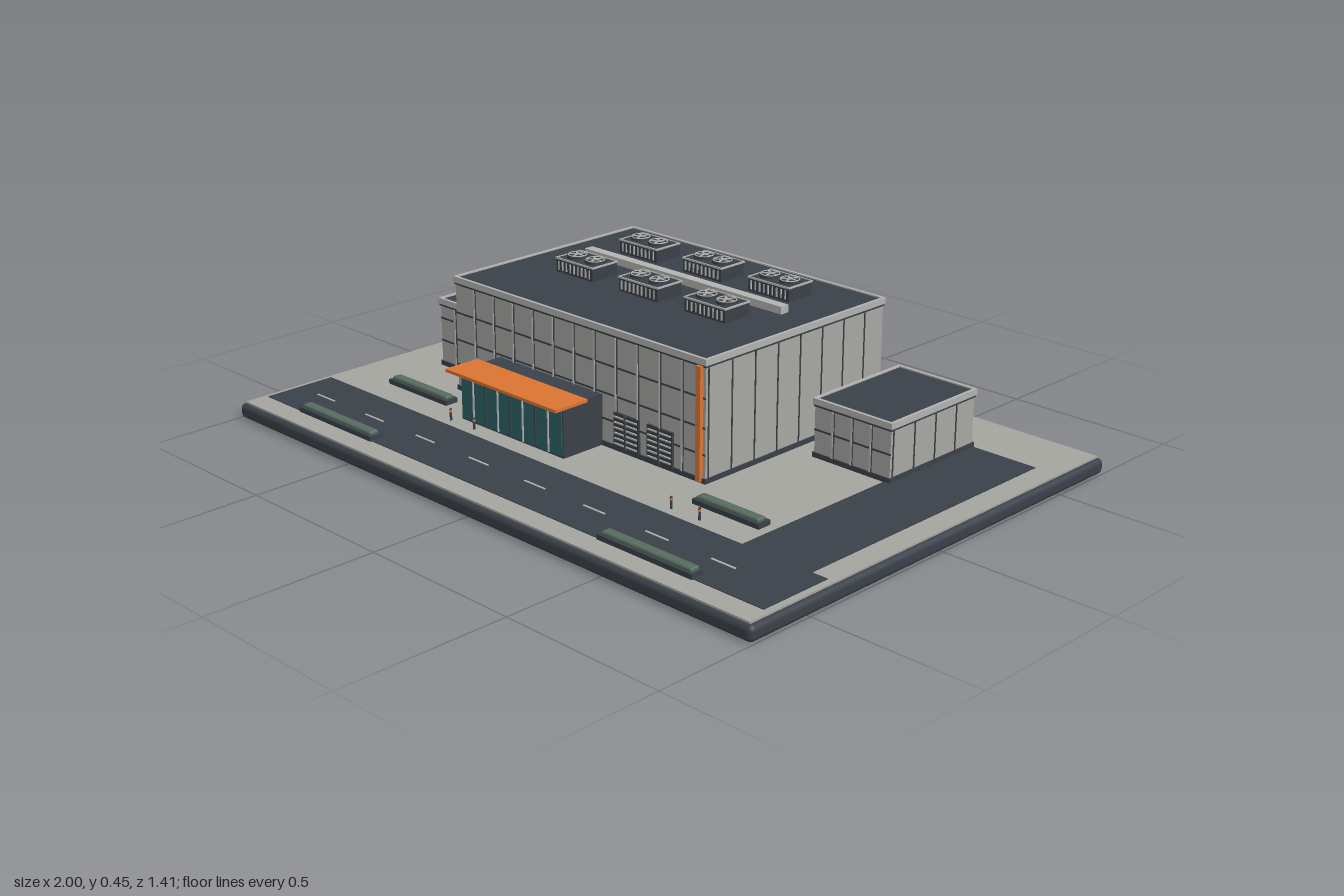
import * as THREE from 'three';
import { RoundedBoxGeometry } from 'three/addons/geometries/RoundedBoxGeometry.js';

const paint = (name, color) => {
  const m = new THREE.MeshStandardMaterial({ color });
  m.name = name;
  return m;
};

export function createModel() {
  const dark = paint('charcoal', 0x3a4049);
  const paving = paint('paving grey', 0xa4a49f);
  const wall = paint('wall grey', 0xa6a6a3);
  const trim = paint('light trim', 0xb2b3b0);
  const orange = paint('orange', 0xdb7433);
  const glass = paint('teal glass', 0x2c6267);
  const hedge = paint('hedge green', 0x566b5e);

  const root = new THREE.Group();
  root.name = 'site';
  const group = (name, parent = root) => {
    const g = new THREE.Group();
    g.name = name;
    parent.add(g);
    return g;
  };
  // Box given by its extents on each axis
  const box = (parent, name, mat, x0, x1, y0, y1, z0, z1) => {
    const m = new THREE.Mesh(new THREE.BoxGeometry(x1 - x0, y1 - y0, z1 - z0), mat);
    m.position.set((x0 + x1) / 2, (y0 + y1) / 2, (z0 + z1) / 2);
    m.name = name;
    parent.add(m);
    return m;
  };
  const G = 0.05; // ground level

  // Base slab, paving and roads
  const base = new THREE.Mesh(new RoundedBoxGeometry(2, 0.045, 1.41, 3, 0.016), dark);
  base.position.y = 0.0225;
  base.name = 'baseSlab';
  root.add(base);
  box(root, 'paving', paving, -0.985, 0.985, 0.04, G, -0.692, 0.692);
  box(root, 'frontRoad', dark, -0.97, 0.965, G - 0.004, G + 0.002, 0.4, 0.625);
  box(root, 'sideDrive', dark, 0.69, 0.915, G - 0.004, G + 0.002, -0.505, 0.4);
  for (let i = 0; i < 8; i++) {
    const x = -0.84 + i * 0.225;
    box(root, 'roadDash', trim, x - 0.04, x + 0.04, G, G + 0.004, 0.512, 0.518);
  }

  // Flat-roofed block: body, plinth, parapet, and panel joints on the front and +x sides
  const block = (name, x0, x1, z0, z1, top, rows, bays, sideBays) => {
    const g = group(name);
    const o = 0.005, roof = top - 0.004, cap = top - 0.018;
    box(g, 'walls', wall, x0, x1, G, cap, z0, z1);
    box(g, 'plinth', dark, x0 - 0.004, x1 + 0.004, G, G + 0.014, z0 - 0.004, z1 + 0.004);
    box(g, 'roof', dark, x0 + 0.003, x1 - 0.003, cap - 0.002, roof, z0 + 0.003, z1 - 0.003);
    box(g, 'capShadowLine', dark, x0 - 0.003, x1 + 0.003, cap - 0.006, cap, z0 - 0.003, z1 + 0.003);
    for (const [a, b] of [[x0 - o, x0 + 0.004], [x1 - 0.004, x1 + o]])
      box(g, 'parapetSide', trim, a, b, cap, top, z0 - o, z1 + o);
    for (const [a, b] of [[z0 - o, z0 + 0.004], [z1 - 0.004, z1 + o]])
      box(g, 'parapetEnd', trim, x0 + 0.004, x1 - 0.004, cap, top, a, b);
    for (const y of rows)
      box(g, 'frontJoint', dark, x0, x1, y - 0.0025, y + 0.0025, z1 - 0.002, z1 + 0.002);
    for (let i = 1; i < bays; i++) {
      const x = x0 + ((x1 - x0) * i) / bays;
      box(g, 'frontRib', trim, x - 0.003, x + 0.003, G + 0.014, cap - 0.006, z1 - 0.002, z1 + 0.006);
      box(g, 'frontRibShadow', dark, x + 0.003, x + 0.0045, G + 0.014, cap - 0.006, z1 - 0.002, z1 + 0.004);
    }
    for (let i = 0; i < sideBays; i++) {
      const z = z1 - 0.01 - ((z1 - z0) * i) / sideBays;
      box(g, 'sideJoint', dark, x1 - 0.002, x1 + 0.002, G + 0.014, cap - 0.006, z - 0.002, z + 0.002);
    }
    return g;
  };
  block('sideWing', -0.825, -0.625, -0.487, 0.09, 0.262, [0.13, 0.2], 3, 0);
  block('annex', 0.445, 0.705, -0.505, -0.15, 0.22, [0.13], 4, 4);
  const hall = block('mainHall', -0.627, 0.367, -0.52, 0.193, 0.397, [0.13, 0.205, 0.288], 12, 8);
  box(hall, 'accentStrip', orange, 0.341, 0.358, G + 0.004, 0.376, 0.19, 0.205);

  // Louvred vents on the front wall
  for (const x of [0.03, 0.157]) {
    const v = group('louvreVent', hall);
    box(v, 'ventPanel', dark, x, x + 0.096, 0.06, 0.162, 0.19, 0.2);
    for (let i = 0; i < 6; i++) {
      const y = 0.073 + i * 0.0155;
      box(v, 'ventSlat', trim, x + 0.005, x + 0.091, y - 0.002, y + 0.002, 0.199, 0.204);
    }
    box(v, 'ventPost', dark, x + 0.046, x + 0.05, 0.06, 0.162, 0.199, 0.206);
  }

  // Glazed entrance with canopy
  const entry = group('entrance');
  box(entry, 'lobby', dark, -0.44, -0.02, G, 0.198, 0.19, 0.338);
  box(entry, 'glazing', glass, -0.436, -0.024, 0.056, 0.193, 0.337, 0.341);
  for (let i = 1; i < 8; i++) {
    const x = -0.436 + (0.412 * i) / 8;
    box(entry, 'mullion', i % 2 ? trim : dark, x - 0.002, x + 0.002, 0.056, 0.193, 0.34, 0.345);
  }
  box(entry, 'canopy', orange, -0.455, -0.002, 0.198, 0.207, 0.265, 0.382);

  // Rooftop duct and cooling units
  const plant = group('roofPlant');
  box(plant, 'duct', trim, -0.52, 0.258, 0.39, 0.415, -0.246, -0.216);
  const ringGeo = new THREE.TorusGeometry(0.027, 0.002, 6, 24).rotateX(Math.PI / 2);
  const hubGeo = new THREE.CylinderGeometry(0.006, 0.006, 0.005, 12);
  const drumGeo = new THREE.CylinderGeometry(0.03, 0.031, 0.008, 24);
  const bladeGeo = new THREE.BoxGeometry(0.021, 0.002, 0.005).translate(0.0145, 0, 0);
  const put = (g, name, geo, mat, x, y, z, turn = 0) => {
    const m = new THREE.Mesh(geo, mat);
    m.position.set(x, y, z);
    m.rotation.y = turn;
    m.name = name;
    g.add(m);
  };
  for (const x of [-0.39, -0.13, 0.127])
    for (const z of [-0.357, -0.1]) {
      const u = group('coolingUnit', plant);
      box(u, 'unitBody', dark, x - 0.076, x + 0.076, 0.39, 0.434, z - 0.048, z + 0.048);
      // Light edging around the top of the casing
      for (const s of [-1, 1]) {
        const ex = x + s * 0.076, ez = z + s * 0.048;
        box(u, 'edgeStrip', trim, ex - 0.002, ex + 0.002, 0.431, 0.436, z - 0.05, z + 0.05);
        box(u, 'edgeStrip', trim, x - 0.074, x + 0.074, 0.431, 0.436, ez - 0.002, ez + 0.002);
      }
      for (let i = 0; i < 9; i++) {
        const fx = x - 0.064 + i * 0.016;
        box(u, 'unitFin', trim, fx - 0.002, fx + 0.002, 0.4, 0.426, z + 0.047, z + 0.051);
      }
      for (const s of [-1, 1]) {
        const fx = x + s * 0.037;
        put(u, 'fanDrum', drumGeo, dark, fx, 0.438, z);
        put(u, 'fanRing', ringGeo, trim, fx, 0.442, z);
        put(u, 'fanHub', hubGeo, trim, fx, 0.443, z);
        for (let k = 0; k < 5; k++)
          put(u, 'fanBlade', bladeGeo, trim, fx, 0.443, z, (k * Math.PI * 2) / 5);
      }
    }

  // Planters with hedges: centre x, centre z, length
  for (const [x, z, l] of [[-0.68, 0.286, 0.26], [0.545, 0.286, 0.23], [-0.648, 0.608, 0.325], [0.578, 0.608, 0.325]]) {
    const p = group('planter');
    box(p, 'planterBox', dark, x - l / 2, x + l / 2, G, 0.064, z - 0.022, z + 0.022);
    const h = new THREE.Mesh(new RoundedBoxGeometry(l - 0.016, 0.02, 0.03, 2, 0.006), hedge);
    h.position.set(x, 0.064, z);
    h.name = 'hedge';
    p.add(h);
  }

  // Bollards along the kerb
  const postGeo = new THREE.CylinderGeometry(0.0035, 0.0035, 0.036, 10);
  const bandGeo = new THREE.CylinderGeometry(0.004, 0.004, 0.007, 10);
  for (const x of [-0.455, -0.355, 0.415, 0.515]) {
    const b = group('bollard');
    put(b, 'post', postGeo, dark, x, 0.066, 0.368);
    put(b, 'band', bandGeo, orange, x, 0.077, 0.368);
  }
  return root;
}
